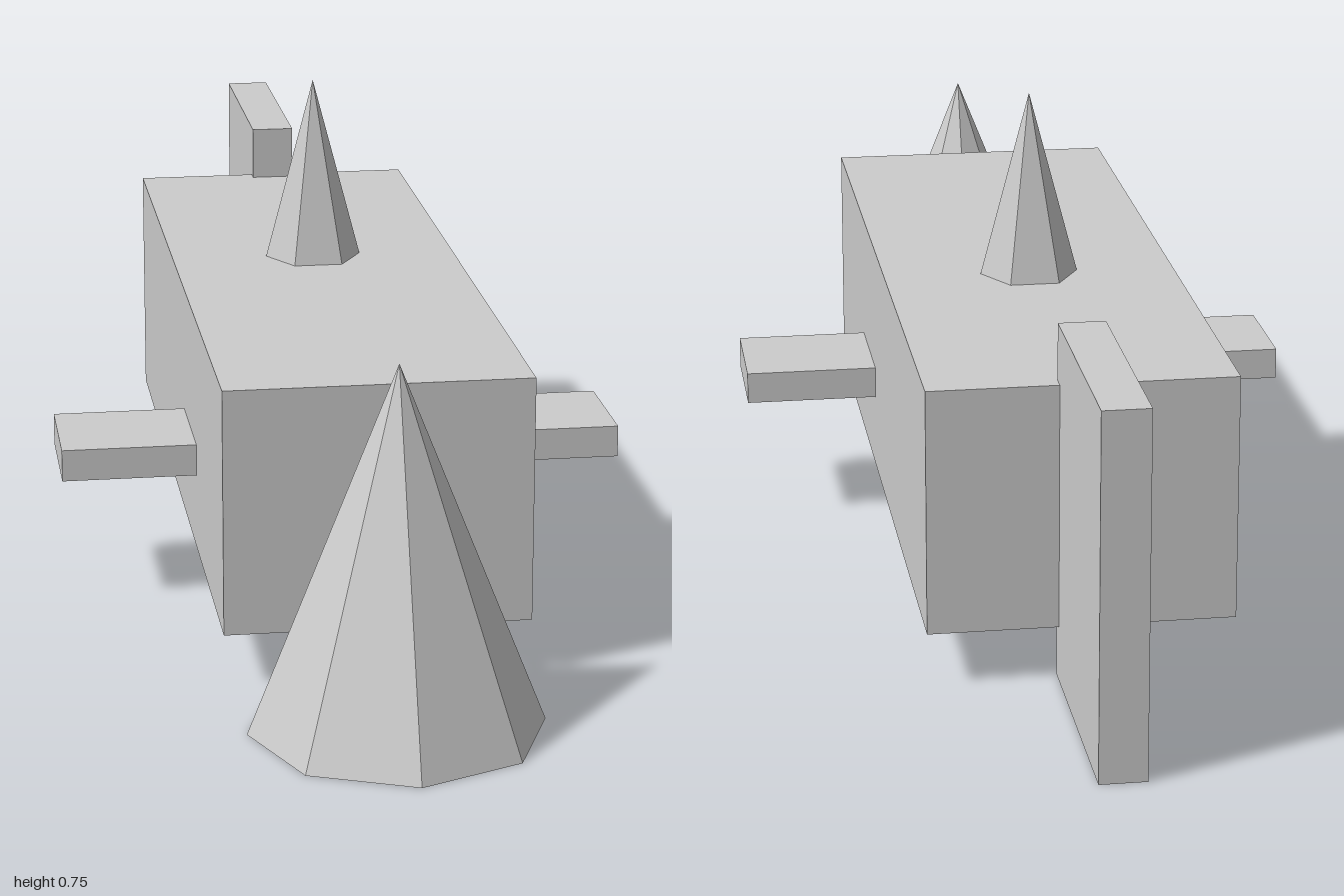
import * as THREE from 'three';

export function createModel() {
  const group = new THREE.Group();
  const material = new THREE.MeshStandardMaterial({ color: 0xcccccc, flatShading: true });

  const add = (name, geometry, x, y, z) => {
    const mesh = new THREE.Mesh(geometry, material);
    mesh.name = name;
    mesh.position.set(x, y, z);
    group.add(mesh);
    return mesh;
  };

  // Long box body
  add('body', new THREE.BoxGeometry(0.46, 0.376, 1.257), 0, 0.273, -0.016);

  // Eight-sided nose cone standing on the ground
  add('noseCone', new THREE.ConeGeometry(0.217, 0.545, 8), 0, 0.2725, 0.783);

  // Six-sided spike on the back, corners pointing sideways
  const spike = add('backSpike', new THREE.ConeGeometry(0.077, 0.292, 6), 0, 0.607, -0.1);
  spike.rotation.y = Math.PI / 6;

  // Upright tail slab, slightly sunk into the body
  add('tailFin', new THREE.BoxGeometry(0.07, 0.548, 0.377), 0, 0.274, -0.8115);

  // Mirrored side fins
  for (const side of [1, -1]) {
    add(side > 0 ? 'leftFin' : 'rightFin',
      new THREE.BoxGeometry(0.22, 0.05, 0.185), side * 0.329, 0.232, 0.151);
  }

  return group;
}
